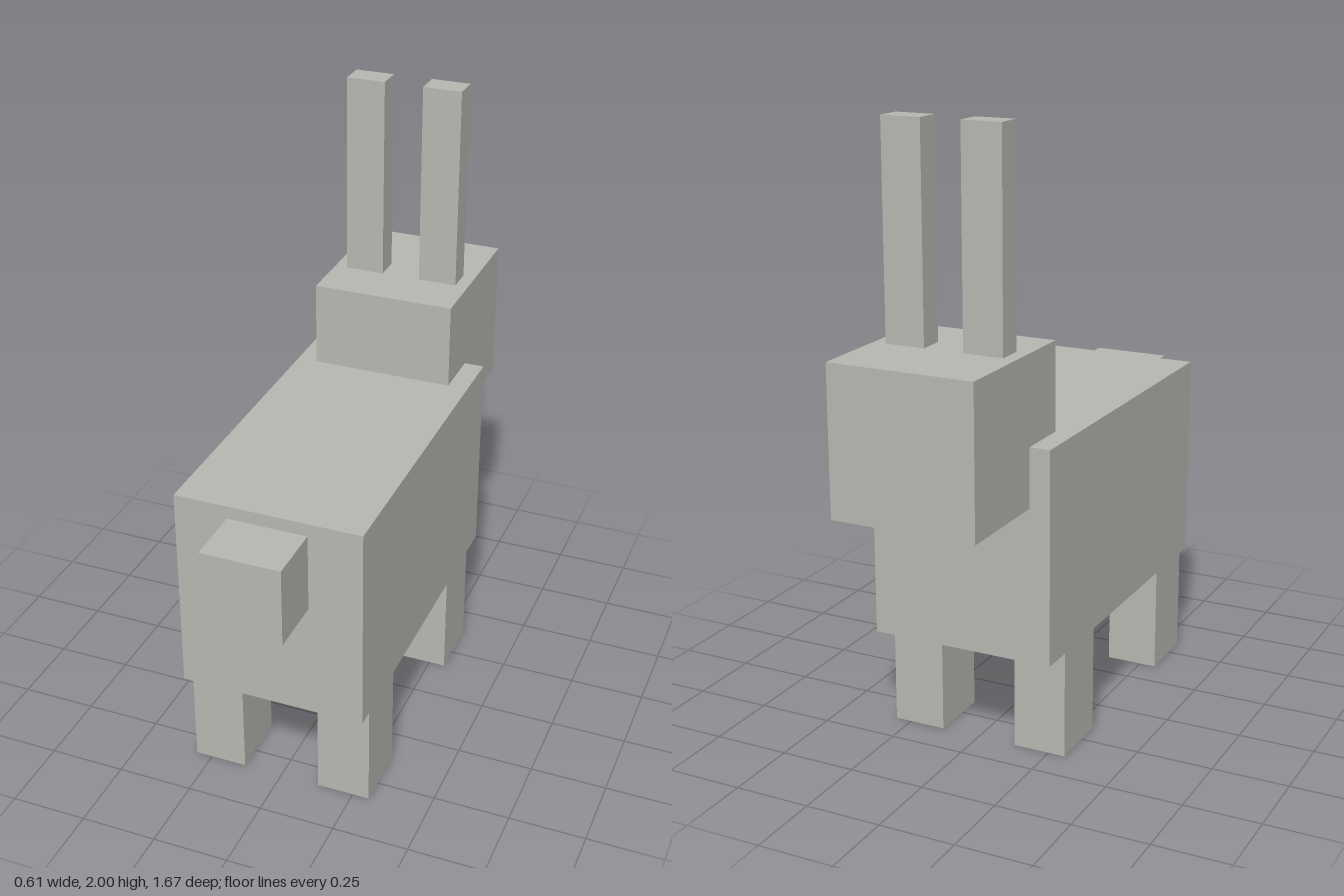
import * as THREE from 'three';

export function createModel() {
  const model = new THREE.Group();
  model.name = 'blockAnimal';

  const fur = new THREE.MeshStandardMaterial({ color: 0xb8b8b2 });
  fur.name = 'grey fur';

  // Box given by its extents along each axis
  function block(name, [x0, x1], [y0, y1], [z0, z1]) {
    const mesh = new THREE.Mesh(new THREE.BoxGeometry(x1 - x0, y1 - y0, z1 - z0), fur);
    mesh.position.set((x0 + x1) / 2, (y0 + y1) / 2, (z0 + z1) / 2);
    mesh.name = name;
    model.add(mesh);
  }

  // Trunk, head and the stubby block on the front
  block('body', [-0.305, 0.305], [0.352, 1.043], [-0.49, 0.64]);
  block('head', [-0.238, 0.238], [0.852, 1.328], [-0.835, -0.315]);
  block('tail', [-0.13, 0.13], [0.74, 1.0], [0.64, 0.835]);

  // Mirrored ears and legs
  for (const [side, s] of [['left', 1], ['right', -1]]) {
    const span = (a, b) => (s > 0 ? [a, b] : [-b, -a]);
    block(side + 'Ear', span(0.065, 0.195), [1.328, 2], [-0.575, -0.49]);
    block(side + 'FrontLeg', span(0.13, 0.305), [0, 0.352], [0.365, 0.58]);
    block(side + 'BackLeg', span(0.13, 0.305), [0, 0.352], [-0.38, -0.165]);
  }

  return model;
}
